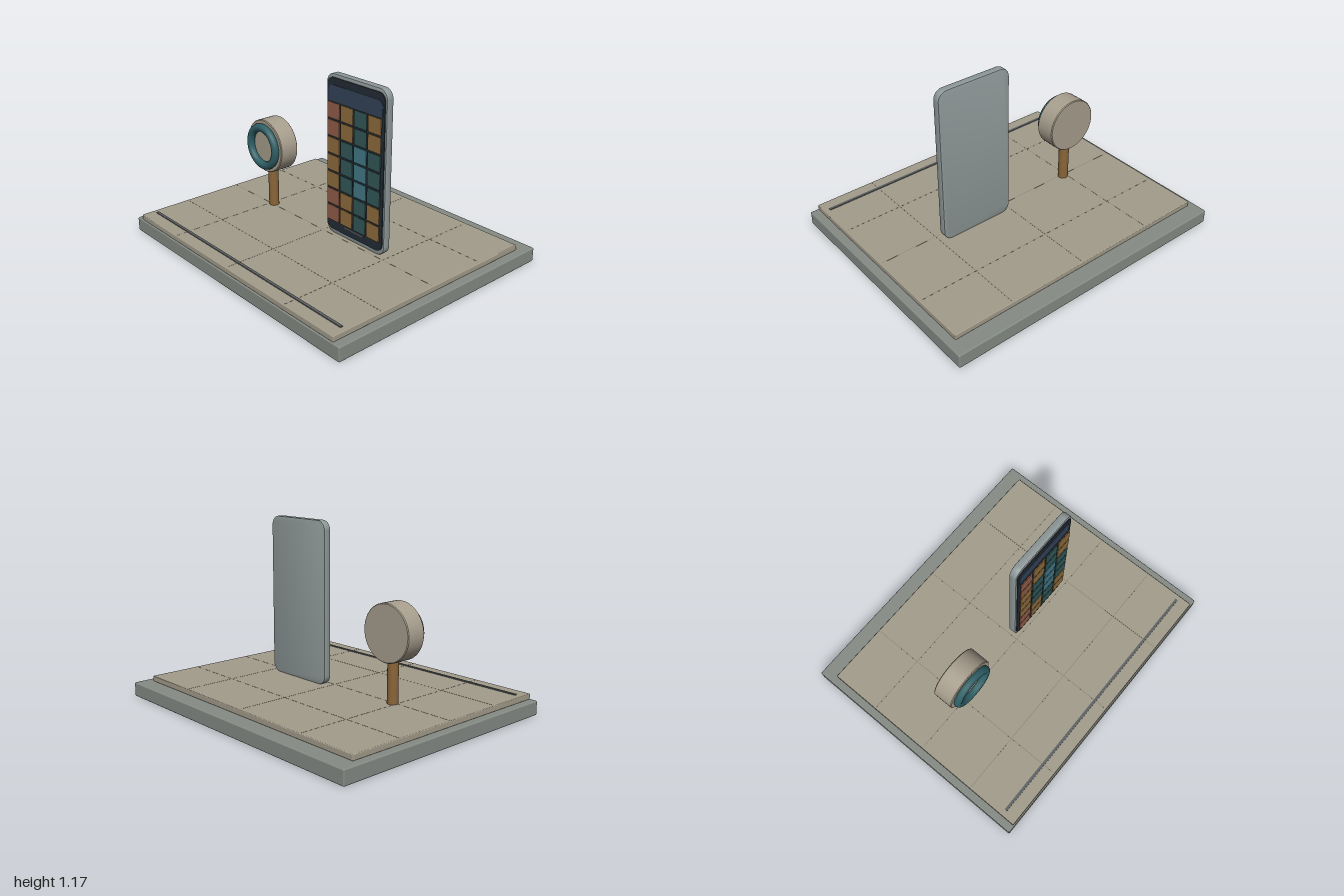
import * as THREE from 'three';
import { RoundedBoxGeometry } from 'three/addons/geometries/RoundedBoxGeometry.js';
import { toCreasedNormals } from 'three/addons/utils/BufferGeometryUtils.js';

const mat = (color) => new THREE.MeshStandardMaterial({ color });
const COLORS = {
  base: mat(0x858b85), plate: mat(0xa39c8b), seam: mat(0x8a8476), strip: mat(0x5c6062),
  body: mat(0xa79e8d), post: mat(0x8a6538), ring: mat(0x2f6066),
  shell: mat(0x8f9999), bezel: mat(0x242c35), header: mat(0x34445a),
  R: mat(0x935e4b), A: mat(0x8f6d3d), T: mat(0x335859), B: mat(0x437a88),
};

function add(parent, name, geometry, material, x = 0, y = 0, z = 0) {
  const mesh = new THREE.Mesh(geometry, material);
  mesh.name = name;
  mesh.position.set(x, y, z);
  parent.add(mesh);
  return mesh;
}

// Rounded rectangle centred on the origin, with separate top and bottom radii
function roundedRect(w, h, top, bottom = top) {
  const s = new THREE.Shape(), x = w / 2, y = h / 2;
  s.moveTo(-x + bottom, -y);
  s.lineTo(x - bottom, -y);
  if (bottom) s.absarc(x - bottom, -y + bottom, bottom, -Math.PI / 2, 0);
  s.lineTo(x, y - top);
  s.absarc(x - top, y - top, top, 0, Math.PI / 2);
  s.lineTo(-x + top, y);
  s.absarc(-x + top, y - top, top, Math.PI / 2, Math.PI);
  s.lineTo(-x, -y + bottom);
  if (bottom) s.absarc(-x + bottom, -y + bottom, bottom, Math.PI, Math.PI * 1.5);
  return s;
}

// Slab from z = 0 to z = depth, optionally with softened rims
function slab(w, h, depth, top, bottom = top, bevel = 0) {
  const shape = roundedRect(w - 2 * bevel, h - 2 * bevel, top - bevel, bottom ? bottom - bevel : 0);
  const g = new THREE.ExtrudeGeometry(shape, {
    depth: depth - 2 * bevel, curveSegments: 8, bevelEnabled: bevel > 0,
    bevelSize: bevel, bevelThickness: bevel, bevelSegments: 2,
  });
  g.translate(0, 0, bevel);
  return toCreasedNormals(g, 0.6);
}

function createPlatform() {
  const g = new THREE.Group();
  g.name = 'platform';
  add(g, 'base', new RoundedBoxGeometry(2, 0.092, 1.62, 2, 0.008), COLORS.base, 0, 0.046, 0);
  add(g, 'topPlate', new RoundedBoxGeometry(1.896, 0.036, 1.505, 2, 0.005), COLORS.plate, -0.003, 0.109, 0.05);
  add(g, 'frontStrip', new THREE.BoxGeometry(1.82, 0.012, 0.018), COLORS.strip, 0, 0.127, 0.711);
  // Fine seams nearly flush with the plate
  for (const x of [-0.54, 0, 0.54])
    add(g, 'lengthSeam', new THREE.BoxGeometry(0.004, 0.004, 1.48), COLORS.seam, x, 0.1257, 0.05);
  for (const z of [-0.36, 0.05, 0.45])
    add(g, 'crossSeam', new THREE.BoxGeometry(1.87, 0.004, 0.004), COLORS.seam, -0.003, 0.1257, z);
  return g;
}

function createDial() {
  const g = new THREE.Group();
  g.name = 'dial';
  g.position.set(-0.515, 0, 0.04);
  add(g, 'post', new THREE.CylinderGeometry(0.034, 0.034, 0.28, 24), COLORS.post, 0, 0.265, 0);
  // Drum with lightly chamfered rims
  const profile = [[0, -0.067], [0.173, -0.067], [0.178, -0.062], [0.178, 0.062], [0.173, 0.067], [0, 0.067]];
  const drum = new THREE.LatheGeometry(profile.map((p) => new THREE.Vector2(...p)), 48);
  add(g, 'drum', toCreasedNormals(drum.rotateX(Math.PI / 2), 0.6), COLORS.body, 0, 0.56, 0);
  add(g, 'ring', new THREE.TorusGeometry(0.129, 0.027, 10, 48), COLORS.ring, 0, 0.56, 0.08);
  return g;
}

function createPhone() {
  const g = new THREE.Group();
  g.name = 'phone';
  g.position.set(0.267, 0, 0);
  add(g, 'shell', slab(0.508, 1.04, 0.05, 0.062, 0.062, 0.006), COLORS.shell, 0, 0.647, -0.024);
  add(g, 'screen', slab(0.486, 0.99, 0.006, 0.05), COLORS.bezel, 0, 0.65, 0.026);
  add(g, 'headerPanel', slab(0.455, 0.1, 0.003, 0.035, 0), COLORS.header, 0, 1.05, 0.032);
  add(g, 'bottomBar', new THREE.BoxGeometry(0.168, 0.01, 0.004), COLORS.strip, 0, 0.203, 0.034);
  // Tiles stand slightly off the screen
  const rows = ['RATA', 'RATA', 'ATBT', 'ATBT', 'ATBT', 'RATA', 'RATA'];
  const tile = new THREE.BoxGeometry(0.105, 0.1, 0.006);
  rows.forEach((row, j) => [...row].forEach((key, i) =>
    add(g, 'tile', tile, COLORS[key], (i - 1.5) * 0.1165, 0.945 - j * 0.112, 0.042)));
  return g;
}

export function createModel() {
  const model = new THREE.Group();
  model.name = 'deskDisplay';
  model.add(createPlatform(), createDial(), createPhone());
  return model;
}
